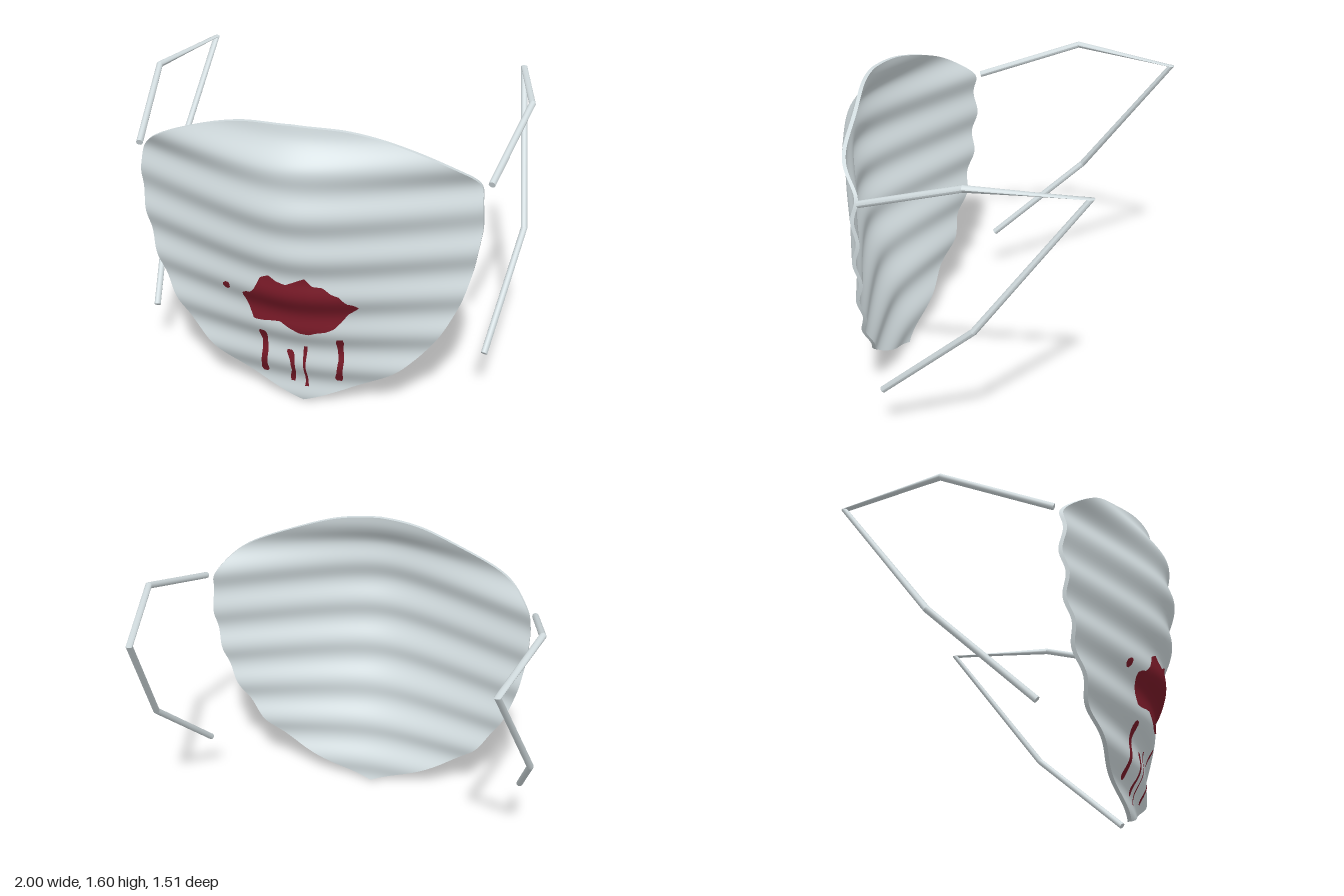
import * as THREE from 'three';

const fabric = new THREE.MeshStandardMaterial({ name: 'pale grey fabric', color: 0xd2dcdf });
const red = new THREE.MeshStandardMaterial({ name: 'dark red', color: 0x7a1a28 });

// Smooth curve through [position, value] keys
function smooth(keys, x) {
  const n = keys.length - 1;
  let i = 0;
  while (i < n - 1 && x > keys[i + 1][0]) i++;
  const slope = (k) => {
    const a = keys[Math.max(k - 1, 0)], b = keys[Math.min(k + 1, n)];
    return (b[1] - a[1]) / (b[0] - a[0]);
  };
  const h = keys[i + 1][0] - keys[i][0];
  const t = THREE.MathUtils.clamp((x - keys[i][0]) / h, 0, 1), t2 = t * t, t3 = t2 * t;
  return (2 * t3 - 3 * t2 + 1) * keys[i][1] + (t3 - 2 * t2 + t) * h * slope(i)
    + (3 * t2 - 2 * t3) * keys[i + 1][1] + (t3 - t2) * h * slope(i + 1);
}

// Straight interpolation through rows of [position, a, b]
function linear(rows, x, k) {
  let i = 0;
  while (i < rows.length - 2 && x > rows[i + 1][0]) i++;
  return THREE.MathUtils.mapLinear(x, rows[i][0], rows[i + 1][0], rows[i][k], rows[i + 1][k]);
}

// Sheet of quads from f(u, v); faces along u x v unless flipped
function sheet(nu, nv, f, flip = false) {
  const pos = [], idx = [];
  for (let j = 0; j <= nv; j++)
    for (let i = 0; i <= nu; i++) pos.push(...f(i / nu, j / nv));
  for (let j = 0; j < nv; j++)
    for (let i = 0; i < nu; i++) {
      const a = j * (nu + 1) + i, b = a + 1, c = a + nu + 1, d = c + 1;
      if (flip) idx.push(a, d, b, a, c, d);
      else idx.push(a, b, d, a, d, c);
    }
  const g = new THREE.BufferGeometry();
  g.setAttribute('position', new THREE.Float32BufferAttribute(pos, 3));
  g.setIndex(idx);
  g.computeVertexNormals();
  return g;
}

// Pleated mask surface: ridge line, sideways fall-off, horizontal ripples
const ridge = [[0, 0.485], [0.2, 0.53], [0.4, 0.58], [0.6, 0.64], [0.8, 0.69], [1, 0.725],
  [1.2, 0.742], [1.4, 0.722], [1.5, 0.685], [1.6, 0.635]];
const fall = [[0, 0.15], [0.2, 0.2], [0.6, 0.37], [0.8, 0.44], [1.05, 0.49], [1.27, 0.51],
  [1.4, 0.44], [1.5, 0.37], [1.6, 0.34]];
function surfaceZ(x, y) {
  const ripple = 0.013 * Math.cos((2 * Math.PI * (y - 1.178)) / 0.233);
  return smooth(ridge, y) - smooth(fall, y) * (Math.hypot(x, 0.2) - 0.2) + ripple;
}

// Half outline of the mask, chin to top
const outline = new THREE.SplineCurve([[0, 0], [0.23, 0.1], [0.42, 0.2], [0.55, 0.3], [0.64, 0.4],
  [0.755, 0.6], [0.82, 0.8], [0.855, 1], [0.862, 1.1], [0.858, 1.2], [0.837, 1.3], [0.72, 1.41],
  [0.52, 1.5], [0.25, 1.58], [0, 1.6]].map((p) => new THREE.Vector2(...p))).getSpacedPoints(150);
const THICK = 0.02;

function maskShell() {
  const group = new THREE.Group();
  group.name = 'maskShell';
  const point = (s, v, back) => {
    const p = outline[Math.round(v * 150)], x = s * p.x;
    return [x, p.y, surfaceZ(x, p.y) - back * THICK];
  };
  const add = (name, geo) => {
    const m = new THREE.Mesh(geo, fabric);
    m.name = name;
    group.add(m);
  };
  add('maskFront', sheet(56, 150, (u, v) => point(2 * u - 1, v, 0)));
  add('maskBack', sheet(56, 150, (u, v) => point(2 * u - 1, v, 1), true));
  add('leftRim', sheet(1, 150, (u, v) => point(1, v, u)));
  add('rightRim', sheet(1, 150, (u, v) => point(-1, v, u), true));
  return group;
}

// Stain hugging the mask: rows of [x, low y, high y]
function blot(name, rows) {
  const x0 = rows[0][0], x1 = rows[rows.length - 1][0];
  const m = new THREE.Mesh(sheet(60, 24, (u, v) => {
    const x = THREE.MathUtils.lerp(x0, x1, u);
    const y = THREE.MathUtils.lerp(linear(rows, x, 1), linear(rows, x, 2), v);
    return [x, y, surfaceZ(x, y) + 0.004];
  }), red);
  m.name = name;
  return m;
}

// Drip running down the mask: rows of [y, centre x, half width]
function drip(name, rows) {
  const y0 = rows[0][0], y1 = rows[rows.length - 1][0];
  const m = new THREE.Mesh(sheet(4, 28, (u, v) => {
    const y = THREE.MathUtils.lerp(y0, y1, v);
    const x = linear(rows, y, 1) + (2 * u - 1) * linear(rows, y, 2);
    return [x, y, surfaceZ(x, y) + 0.004];
  }), red);
  m.name = name;
  return m;
}

// Bent ear loop: rings set across the path at each corner, closed ends
function earLoop(side) {
  const path = [[0.885, 1.283, 0.35], [0.982, 1.485, -0.19], [0.862, 1.463, -0.735],
    [0.982, 0.77, -0.235], [0.885, 0.293, 0.265]]
    .map(([x, y, z]) => new THREE.Vector3(side * x, y, z));
  const last = path.length - 1, R = 0.017;
  const rings = path.map((p, i) => {
    const t = path[Math.min(i + 1, last)].clone().sub(path[Math.max(i - 1, 0)]).normalize();
    const a = new THREE.Vector3(1, 0, 0).addScaledVector(t, -t.x).normalize();
    return { p, a, b: t.clone().cross(a) };
  });
  const at = (i, u, r) => {
    const { p, a, b } = rings[i], q = u * 2 * Math.PI;
    return p.clone().addScaledVector(a, r * Math.cos(q)).addScaledVector(b, r * Math.sin(q)).toArray();
  };
  const group = new THREE.Group();
  group.name = side > 0 ? 'leftEarLoop' : 'rightEarLoop';
  const add = (name, geo) => {
    const m = new THREE.Mesh(geo, fabric);
    m.name = name;
    group.add(m);
  };
  for (let i = 0; i < last; i++)
    add('cordSegment', sheet(12, 1, (u, v) => at(i + Math.round(v), u, R)));
  add('cordStart', sheet(12, 1, (u, v) => at(0, u, R * v)));
  add('cordEnd', sheet(12, 1, (u, v) => at(last, u, R * (1 - v))));
  return group;
}

export function createModel() {
  const model = new THREE.Group();
  model.name = 'faceMask';
  model.add(maskShell(), earLoop(1), earLoop(-1));

  // Stains
  model.add(
    blot('mainStain', [[-0.275, 0.645, 0.665], [-0.25, 0.58, 0.685], [-0.225, 0.515, 0.69],
      [-0.2, 0.515, 0.72], [-0.165, 0.52, 0.795], [-0.12, 0.53, 0.818], [-0.08, 0.535, 0.795],
      [-0.03, 0.505, 0.785], [0.02, 0.48, 0.81], [0.065, 0.475, 0.832], [0.1, 0.49, 0.79],
      [0.15, 0.5, 0.785], [0.19, 0.52, 0.75], [0.225, 0.56, 0.735], [0.26, 0.61, 0.69],
      [0.29, 0.635, 0.68], [0.312, 0.655, 0.66]]),
    drip('spot', [[0.655, -0.368, 0.008], [0.67, -0.367, 0.02], [0.69, -0.364, 0.02], [0.705, -0.357, 0.008]]),
    drip('drip', [[0.145, -0.2, 0.01], [0.16, -0.2, 0.021], [0.22, -0.196, 0.016], [0.3, -0.185, 0.016],
      [0.36, -0.184, 0.014], [0.41, -0.187, 0.022], [0.435, -0.187, 0.02], [0.445, -0.187, 0.01]]),
    drip('drip', [[0.112, -0.053, 0.01], [0.14, -0.051, 0.015], [0.2, -0.038, 0.01], [0.27, -0.038, 0.012],
      [0.32, -0.048, 0.019], [0.335, -0.052, 0.012]]),
    drip('drip', [[0.09, 0.02, 0.01], [0.12, 0.022, 0.007], [0.25, 0.023, 0.006], [0.34, 0.03, 0.01],
      [0.372, 0.034, 0.008]]),
    drip('drip', [[0.152, 0.192, 0.012], [0.17, 0.192, 0.021], [0.22, 0.2, 0.015], [0.3, 0.211, 0.014],
      [0.38, 0.207, 0.014], [0.42, 0.211, 0.02], [0.447, 0.213, 0.015]]),
  );
  return model;
}
